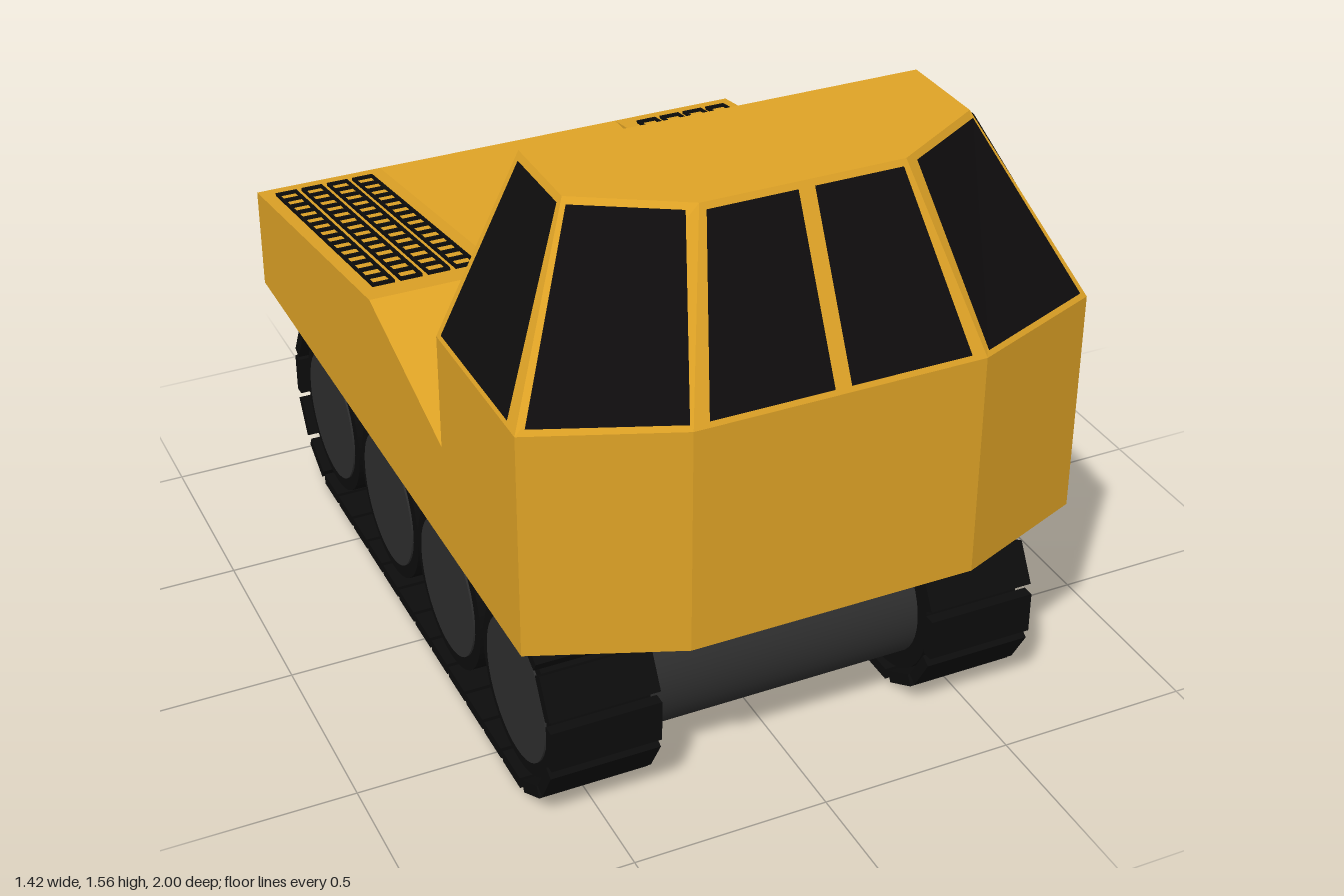
import * as THREE from 'three';
import { mergeGeometries } from 'three/addons/utils/BufferGeometryUtils.js';

const paint = new THREE.MeshStandardMaterial({ color: 0xdfa326, flatShading: true });
const black = new THREE.MeshStandardMaterial({ color: 0x0c0c0c });
const grey = new THREE.MeshStandardMaterial({ color: 0x2e2e2e });
const glass = new THREE.MeshStandardMaterial({ color: 0x0e0c0d, side: THREE.DoubleSide });

function add(parent, name, geometry, material, x = 0, y = 0, z = 0) {
  const mesh = new THREE.Mesh(geometry, material);
  mesh.name = name;
  mesh.position.set(x, y, z);
  parent.add(mesh);
  return mesh;
}

// Six-cornered cab outline, from rear left round the nose to rear right
function ring(y, w, rear, side, noseX, nose) {
  return [[w, rear], [w, side], [noseX, nose], [-noseX, nose], [-w, side], [-w, rear]]
    .map(([x, z]) => new THREE.Vector3(x, y, z));
}

function trianglesToGeometry(points) {
  const geometry = new THREE.BufferGeometry().setFromPoints(points);
  geometry.computeVertexNormals();
  return geometry;
}

// Closed skin through a stack of rings
function loft(rings) {
  const out = [], n = rings[0].length;
  for (let r = 0; r < rings.length - 1; r++) {
    const p = rings[r], q = rings[r + 1];
    for (let i = 0; i < n; i++) {
      const j = (i + 1) % n;
      out.push(p[i], q[i], p[j], p[j], q[i], q[j]);
    }
  }
  const bottom = rings[0], top = rings[rings.length - 1];
  for (let k = 1; k < n - 1; k++) {
    out.push(bottom[0], bottom[k], bottom[k + 1], top[0], top[k + 1], top[k]);
  }
  return trianglesToGeometry(out);
}

const sill = ring(1.145, 0.71, 0.4, 0.86, 0.36, 1.0);
const roof = ring(1.565, 0.5, 0.4, 0.64, 0.25, 0.79);

// Window pane on cab face i; b and t are its extents along the sill and roof edges
function pane(i, b, t, mirror) {
  const at = (ub, ut, v) => sill[i].clone().lerp(sill[i + 1], ub)
    .lerp(roof[i].clone().lerp(roof[i + 1], ut), v);
  const c = [at(b[0], t[0], 0.03), at(b[0], t[0], 0.965), at(b[1], t[1], 0.965), at(b[1], t[1], 0.03)];
  const normal = c[1].clone().sub(c[0]).cross(c[3].clone().sub(c[0])).normalize();
  c.forEach(p => { p.addScaledVector(normal, 0.005); p.x *= mirror; });
  if (mirror < 0) c.reverse();
  return trianglesToGeometry([c[0], c[1], c[3], c[3], c[1], c[2]]);
}

// Ladder-like vents in four columns
function grilleGeometry() {
  const bars = [], length = 0.795, rows = 14;
  for (let c = 0; c < 4; c++) {
    const x = (c - 1.5) * 0.0725;
    for (const s of [-1, 1]) {
      bars.push(new THREE.BoxGeometry(0.006, 0.008, length).translate(x + s * 0.026, 0, 0));
    }
    for (let r = 0; r <= rows; r++) {
      bars.push(new THREE.BoxGeometry(0.058, 0.008, 0.01).translate(x, 0, (r / rows - 0.5) * length));
    }
  }
  return mergeGeometries(bars);
}

// Track plates along a stadium-shaped loop
function trackGeometry() {
  const plates = [], radius = 0.243, front = 0.592, rear = -0.742, perRun = 12;
  const plate = (y, z, angle) => plates.push(
    new THREE.BoxGeometry(0.28, 0.03, 0.11).rotateX(angle).translate(0, y, z));
  for (let i = 0; i < perRun; i++) {
    const z = THREE.MathUtils.lerp(front, rear, i / (perRun - 1));
    plate(radius, z, 0);
    plate(-radius, z, 0);
  }
  for (let k = 1; k <= 5; k++) {
    const a = k * Math.PI / 6;
    plate(radius * Math.cos(a), front + radius * Math.sin(a), a);
    plate(radius * Math.cos(a), rear - radius * Math.sin(a), -a);
  }
  return mergeGeometries(plates);
}

export function createModel() {
  const model = new THREE.Group();
  model.name = 'trackedVehicle';

  // Cab and rear deck
  add(model, 'cab', loft([ring(0.57, 0.71, 0.4, 0.86, 0.36, 1.0), sill, roof]), paint);
  add(model, 'rearDeck', new THREE.BoxGeometry(1.42, 0.28, 1.4), paint, 0, 0.71, -0.3);

  // Side humps: profile drawn in (-z, y), extruded across x
  const profile = new THREE.Shape([[-0.4, 0.85], [1, 0.85], [0.07, 0.995]]
    .map(([x, y]) => new THREE.Vector2(x, y)));
  const hump = new THREE.ExtrudeGeometry(profile, { depth: 0.353, bevelEnabled: false })
    .rotateY(Math.PI / 2).translate(-0.1765, 0, 0);
  const grille = grilleGeometry();
  const track = trackGeometry();
  const tire = new THREE.CylinderGeometry(0.215, 0.215, 0.25, 40).rotateZ(Math.PI / 2);
  const hub = new THREE.CylinderGeometry(0.18, 0.18, 0.01, 40).rotateZ(Math.PI / 2);
  const axle = new THREE.CylinderGeometry(0.17, 0.17, 0.8, 40).rotateZ(Math.PI / 2);
  const wheelZ = [0.597, 0.148, -0.283, -0.738], wheelY = 0.262;

  for (const s of [1, -1]) {
    const side = s > 0 ? 'left' : 'right';
    add(model, side + 'Hump', hump, paint, s * 0.5335, 0, 0);
    add(model, side + 'Grille', grille, black, s * 0.537, 0.925, -0.545)
      .rotation.x = -Math.atan2(0.145, 0.93);

    add(model, side + 'SideWindow', pane(0, [0.055, 0.915], [0.1, 0.97], s), glass);
    add(model, side + 'CornerWindow', pane(1, [0.05, 0.98], [0.04, 0.9], s), glass);
    add(model, side + 'FrontWindow', pane(2, [0.05, 0.472], [0.03, 0.46], s), glass);

    add(model, side + 'Track', track, black, s * 0.5, wheelY, 0);
    for (const z of wheelZ) {
      add(model, side + 'Wheel', tire, black, s * 0.495, wheelY, z);
      add(model, side + 'WheelHub', hub, grey, s * 0.62, wheelY, z);
    }
  }

  // Thick axles between the wheel pairs
  for (const z of wheelZ) add(model, 'axle', axle, grey, 0, wheelY, z);

  return model;
}
